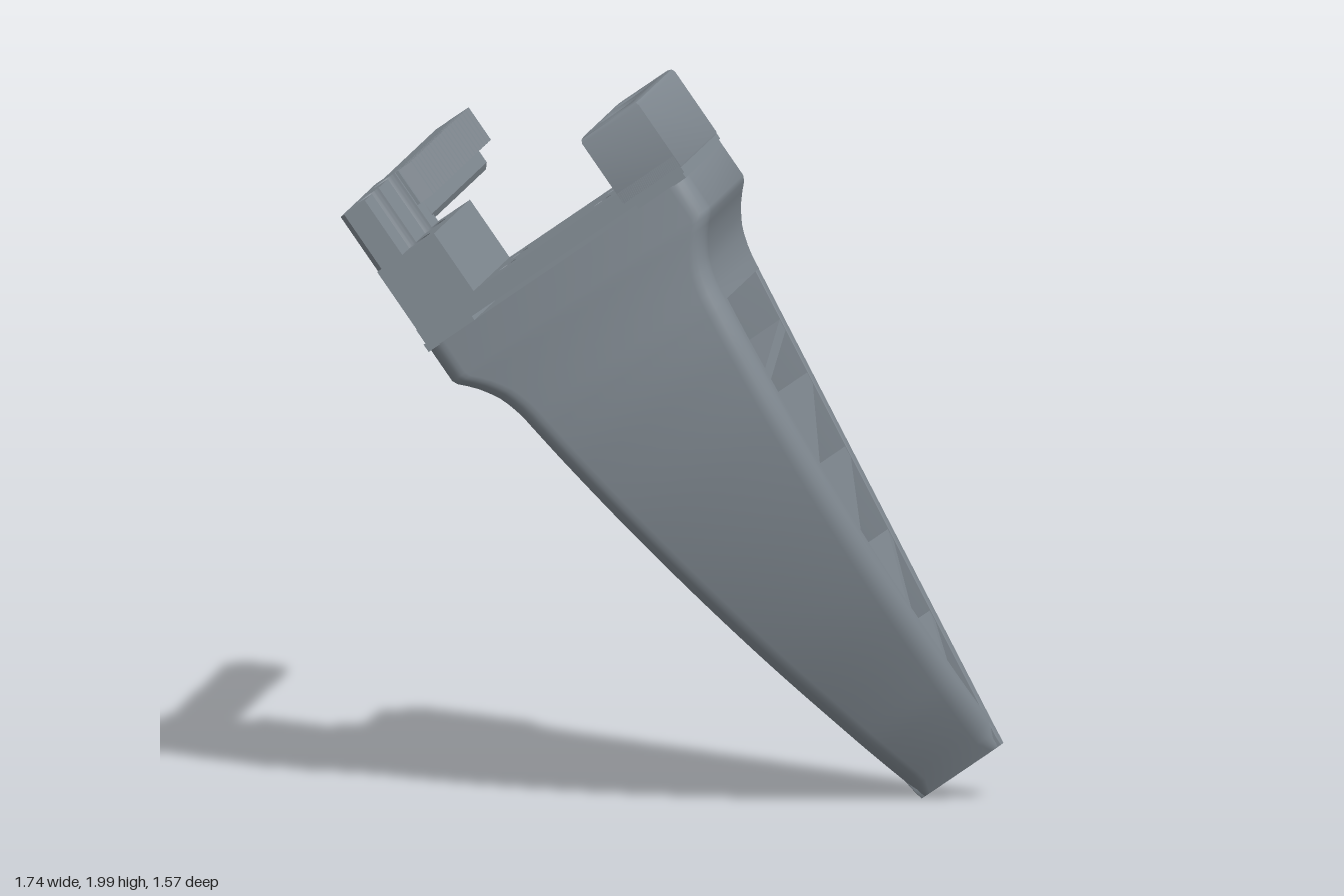
import * as THREE from 'three';
import { toCreasedNormals } from 'three/addons/utils/BufferGeometryUtils.js';

const TILT = THREE.MathUtils.degToRad(35);
const MID = 0.665;   // centre line of the finger
const BACK = 0.155;  // flat back plane
const FRONT = 0.782;
const TIP = -0.368;
const HEAD = 1.08;   // where the hollow finger meets the solid head

// Half width of the tapering finger at height v
const halfWidth = (v) => 0.135 + 0.13 * (v - TIP);

export function createModel() {
  const model = new THREE.Group();
  model.name = 'gripperFinger';
  const body = new THREE.Group();
  body.name = 'tiltedBody';
  body.rotation.z = TILT;
  model.add(body);
  const material = new THREE.MeshStandardMaterial({ color: 0x828b93 });

  const add = (name, geometry) => {
    const mesh = new THREE.Mesh(toCreasedNormals(geometry, 0.6), material);
    mesh.name = name;
    body.add(mesh);
  };

  // Skin over a stack of convex rings, bottom to top, with end caps
  const loft = (rings) => {
    const n = rings[0].length, index = [];
    for (let i = 0; i < rings.length - 1; i++) {
      for (let j = 0; j < n; j++) {
        const a = i * n + j, b = i * n + (j + 1) % n;
        index.push(a, b, b + n, a, b + n, a + n);
      }
    }
    const top = (rings.length - 1) * n;
    for (let j = 1; j < n - 1; j++) {
      index.push(0, j + 1, j, top, top + j, top + j + 1);
    }
    const g = new THREE.BufferGeometry();
    g.setAttribute('position', new THREE.Float32BufferAttribute(rings.flat(2), 3));
    g.setIndex(index);
    return g;
  };

  // Rectangle ring with two rounded front corners
  const ring = (v, w, back, front, r) => {
    const pts = [[MID + w, v, back], [MID - w, v, back]];
    for (let k = 0; k <= 6; k++) {
      const t = (k / 6) * Math.PI / 2;
      pts.push([MID - w + r - r * Math.cos(t), v, front - r + r * Math.sin(t)]);
    }
    for (let k = 0; k <= 6; k++) {
      const t = (k / 6) * Math.PI / 2;
      pts.push([MID + w - r + r * Math.sin(t), v, front - r + r * Math.cos(t)]);
    }
    return pts;
  };

  // Plan shape (across, depth) raised from v0 to v1
  const slab = (shape, v0, v1, bevel = 0) => {
    const g = new THREE.ExtrudeGeometry(shape, {
      depth: v1 - v0 - 2 * bevel, curveSegments: 20, bevelEnabled: bevel > 0,
      bevelSize: bevel, bevelThickness: bevel, bevelOffset: -bevel, bevelSegments: 2,
    });
    return g.rotateX(Math.PI / 2).translate(0, v1 - bevel, 0);
  };
  const polygon = (pts) => new THREE.Shape(pts.map((p) => new THREE.Vector2(...p)));
  const plan = (u0, u1, holes = [], r = 0) => {
    const s = polygon([[u0, BACK], [u1, BACK], [u1, FRONT], [u0, FRONT]]);
    for (const [u, z] of holes) s.holes.push(new THREE.Path().absarc(u, z, r, 0, Math.PI * 2, true));
    return s;
  };

  // Curved front wall, thinning at the tip and running into the solid flared head
  const curve = new THREE.SplineCurve([
    [TIP, 0.196], [-0.225, 0.303], [-0.1, 0.385], [0.166, 0.538], [0.434, 0.653],
    [0.7, 0.733], [0.93, 0.773], [HEAD, 0.784],
  ].map((p) => new THREE.Vector2(...p)));
  const wallRings = curve.getPoints(40).map(({ x: v, y: f }) => {
    const back = Math.max(BACK + 0.001, f - 0.077);
    return ring(v, halfWidth(v), back, f, Math.min(0.055, (f - back) * 0.75));
  });
  const headRings = [
    [HEAD, halfWidth(HEAD)], [1.12, 0.3285], [1.15, 0.335], [1.18, 0.344], [1.205, 0.354], [1.23, 0.369],
    [1.255, 0.386], [1.28, 0.408], [1.3, 0.428], [1.315, 0.435], [1.42, 0.435],
  ].map(([v, w]) => ring(v, w, BACK, 0.784, 0.055));
  add('frontWallAndHead', loft([...wallRings, ...headRings]));

  // Flat back wall
  add('backWall', loft([[TIP, 0.19], [-0.34, 0.2], [HEAD + 0.02, 0.2]].map(
    ([v, f]) => ring(v, halfWidth(v) - 0.0005, BACK, f, 0.002))));

  // Slanted inner ribs: height at the back, height and depth at the front
  for (const [vb, vf, zf] of [
    [0.92, 0.84, 0.696], [0.764, 0.563, 0.632], [0.54, 0.345, 0.555], [0.294, 0.08, 0.43], [0.05, -0.1, 0.32],
  ]) {
    const corners = (lift) => [[1, vb, 0.18], [-1, vb, 0.18], [-1, vf, zf], [1, vf, zf]].map(
      ([s, v, z]) => [MID + s * (halfWidth(v + lift) - 0.004), v + lift, z]);
    add('rib', loft([corners(-0.017), corners(0.017)]));
  }

  // Seat strips leaving a thin slot under the floor plate
  add('seatStrip', slab(plan(0.232, 0.388), 1.418, 1.442));
  add('seatStrip', slab(plan(0.942, 1.1), 1.418, 1.442));

  // Mounting bracket: drilled floor and two drilled blocks
  const floorHoles = [0.505, 0.825].flatMap((u) => [[u, 0.35], [u, 0.57]]);
  add('floorPlate', slab(plan(0.238, 1.105, floorHoles, 0.028), 1.433, 1.487));
  const depths = [0.325, 0.6];
  add('rightBlock', slab(plan(0.915, 1.107, depths.map((z) => [1.01, z]), 0.051), 1.44, 1.668, 0.014));
  add('leftBlock', slab(plan(0.24, 0.432, depths.map((z) => [0.325, z]), 0.058), 1.48, 1.678));

  // Upright arm with half-round screw clearances
  const arm = new THREE.Shape();
  arm.moveTo(0.24, BACK);
  arm.lineTo(0.325, BACK);
  for (const z of depths) {
    arm.lineTo(0.325, z - 0.058);
    arm.absarc(0.325, z, 0.058, -Math.PI / 2, Math.PI / 2, true);
  }
  arm.lineTo(0.325, FRONT);
  arm.lineTo(0.255, FRONT);
  arm.lineTo(0.24, FRONT - 0.015);
  add('arm', slab(arm, 1.67, 1.858));

  // Rack bar running backwards from the arm
  const bar = polygon([[0.262, 1.69], [0.315, 1.69], [0.328, 1.705], [0.328, 1.857], [0.262, 1.857], [0.245, 1.84], [0.245, 1.707]]);
  add('rackBar', new THREE.ExtrudeGeometry(bar, {
    depth: 0.95, bevelSize: 0.012, bevelThickness: 0.012, bevelOffset: -0.012, bevelSegments: 1,
  }).translate(0, 0, -0.773));

  // Row of rack teeth
  const teeth = [[0.3, -0.785]];
  const pitch = 0.052;
  for (let i = 0; i < 20; i++) {
    const z = -0.785 + i * pitch;
    teeth.push([0.334, z], [0.373, z + 0.011], [0.373, z + 0.027], [0.334, z + 0.038]);
  }
  teeth.push([0.334, 0.255], [0.3, 0.255]);
  add('rackTeeth', slab(polygon(teeth), 1.749, 1.857));

  return model;
}
